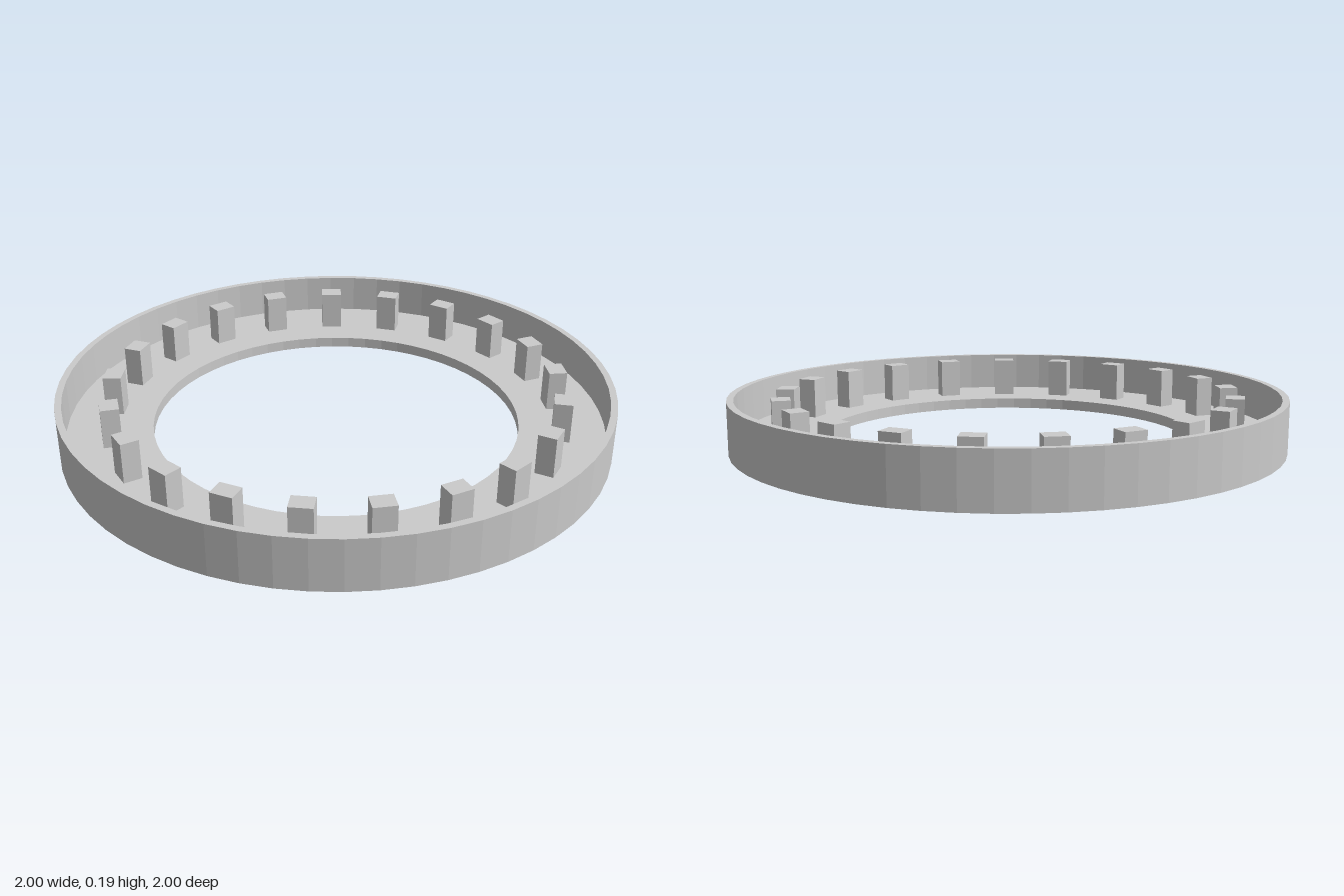
import * as THREE from 'three';

const HEIGHT = 0.187, FLOOR = 0.04;
const OUTER = 1, WALL_INNER = 0.976, HOLE = 0.667;
const BLOCKS = 21, BLOCK_RADIUS = 0.815;

export function createModel() {
  const model = new THREE.Group();
  const material = new THREE.MeshStandardMaterial({ color: 0xcccccc, flatShading: true });

  // Flat ring with a thin raised outer wall, as one closed profile
  const profile = [
    [HOLE, 0], [OUTER, 0], [OUTER, HEIGHT], [WALL_INNER, HEIGHT],
    [WALL_INNER, FLOOR], [HOLE, FLOOR], [HOLE, 0],
  ].map(([r, y]) => new THREE.Vector2(r, y));
  const tray = new THREE.Mesh(new THREE.LatheGeometry(profile, 60), material);
  tray.name = 'ringTray';
  model.add(tray);

  // Upright blocks spaced evenly around the floor, first one on +x
  const blocks = new THREE.Group();
  blocks.name = 'blocks';
  const blockGeometry = new THREE.BoxGeometry(0.066, HEIGHT - FLOOR, 0.08);
  for (let i = 0; i < BLOCKS; i++) {
    const angle = (i / BLOCKS) * Math.PI * 2;
    const block = new THREE.Mesh(blockGeometry, material);
    block.name = 'block';
    block.position.set(
      Math.cos(angle) * BLOCK_RADIUS,
      (HEIGHT + FLOOR) / 2,
      -Math.sin(angle) * BLOCK_RADIUS,
    );
    block.rotation.y = angle;
    blocks.add(block);
  }
  model.add(blocks);

  return model;
}
